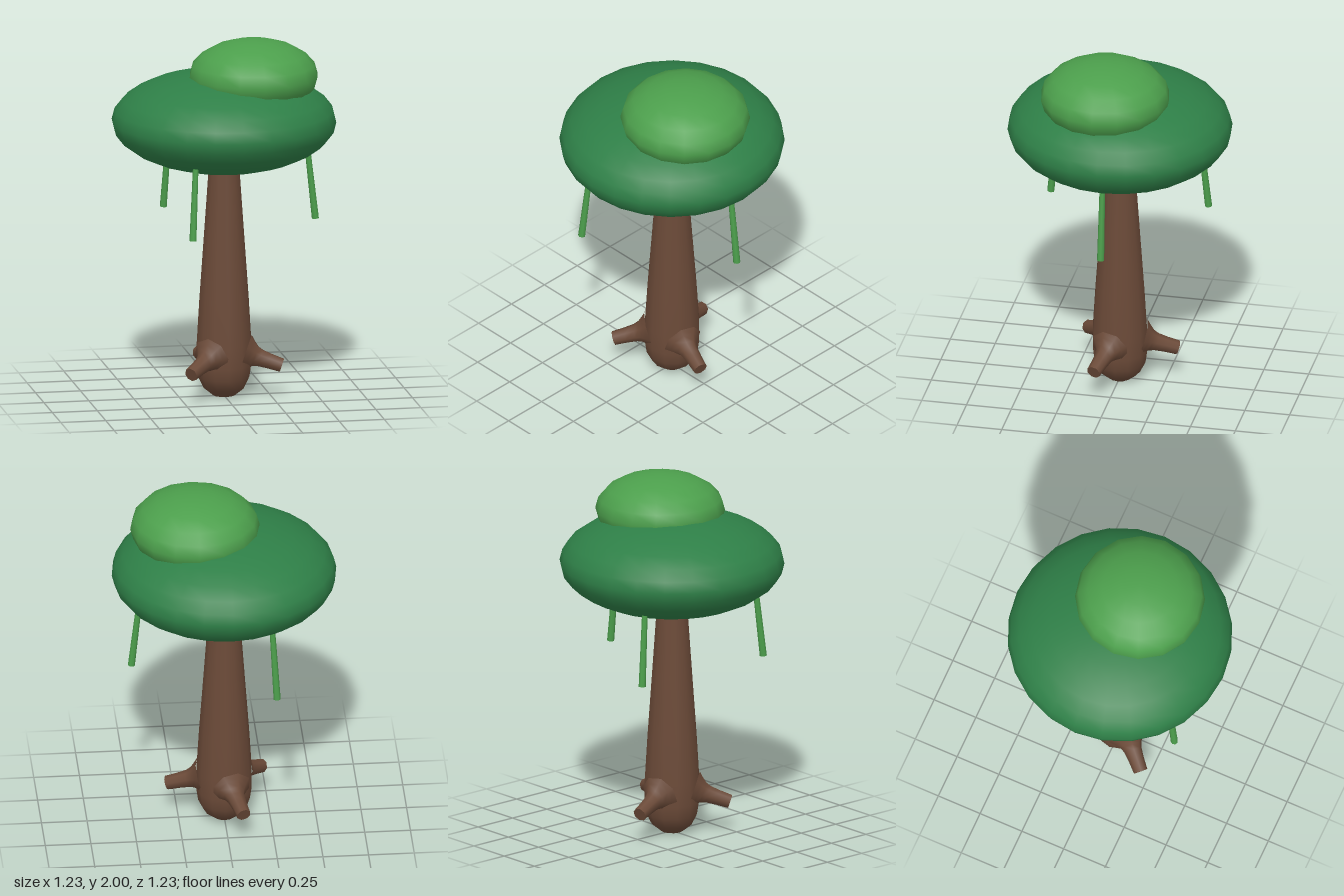
import * as THREE from 'three';

const mat = (name, color) => {
  const m = new THREE.MeshStandardMaterial({ color });
  m.name = name;
  return m;
};

export function createModel() {
  const bark = mat('bark brown', 0x6b4a38);
  const darkLeaf = mat('dark leaf green', 0x2e7f47);
  const lightLeaf = mat('light leaf green', 0x4c9f4c);
  const tree = new THREE.Group();
  tree.name = 'tree';

  const add = (name, geometry, material, parent = tree) => {
    const mesh = new THREE.Mesh(geometry, material);
    mesh.name = name;
    parent.add(mesh);
    return mesh;
  };
  const lathe = (profile, sides) =>
    new THREE.LatheGeometry(profile.map(([r, y]) => new THREE.Vector2(r, y)), sides);
  const aim = (mesh, from, to) => {
    mesh.position.copy(from);
    mesh.quaternion.setFromUnitVectors(
      new THREE.Vector3(0, 1, 0), to.clone().sub(from).normalize());
  };
  // point at a radius, height and compass angle around the trunk
  const polar = (r, y, degrees) => {
    const a = THREE.MathUtils.degToRad(degrees);
    return new THREE.Vector3(r * Math.cos(a), y, r * Math.sin(a));
  };

  // tapering trunk with a rounded foot
  add('trunk', lathe([
    [0, 0.005], [0.06, 0.008], [0.112, 0.05], [0.142, 0.11], [0.152, 0.18],
    [0.152, 0.3], [0.137, 0.55], [0.112, 0.9], [0.086, 1.27], [0.08, 1.36], [0, 1.36],
  ], 12), bark);

  // three stubby roots, flared where they leave the trunk
  const rootShape = lathe([
    [0.11, 0], [0.085, 0.025], [0.06, 0.055], [0.049, 0.085], [0.043, 0.14], [0.039, 0.21],
  ], 8);
  const rootTip = new THREE.CircleGeometry(0.039, 8);
  rootTip.rotateX(-Math.PI / 2).translate(0, 0.21, 0);
  for (const angle of [15, 135, 255]) {
    const root = new THREE.Group();
    root.name = 'root';
    add('rootStem', rootShape, bark, root);
    add('rootTip', rootTip, bark, root);
    aim(root, polar(0.118, 0.243, angle), polar(0.318, 0.178, angle));
    tree.add(root);
  }

  // wide lower canopy and the smaller offset crown on top
  const canopy = add('canopy', new THREE.SphereGeometry(1, 24, 14), darkLeaf);
  canopy.scale.set(0.615, 0.274, 0.615);
  canopy.position.set(0, 1.543, 0);
  const crown = add('crown', new THREE.SphereGeometry(1, 16, 10), lightLeaf);
  crown.scale.set(0.355, 0.2, 0.355);
  crown.position.set(0.155, 1.8, 0.05);

  // hanging vines, splayed outward
  const top = 1.37, bottom = 0.975;
  for (const angle of [0, 120, 240]) {
    const from = polar(0.508, bottom, angle);
    const to = polar(0.464, top, angle);
    const length = from.distanceTo(to);
    const shape = new THREE.CylinderGeometry(0.016, 0.02, length, 7);
    shape.translate(0, length / 2, 0);
    aim(add('vine', shape, lightLeaf), from, to);
  }
  return tree;
}
